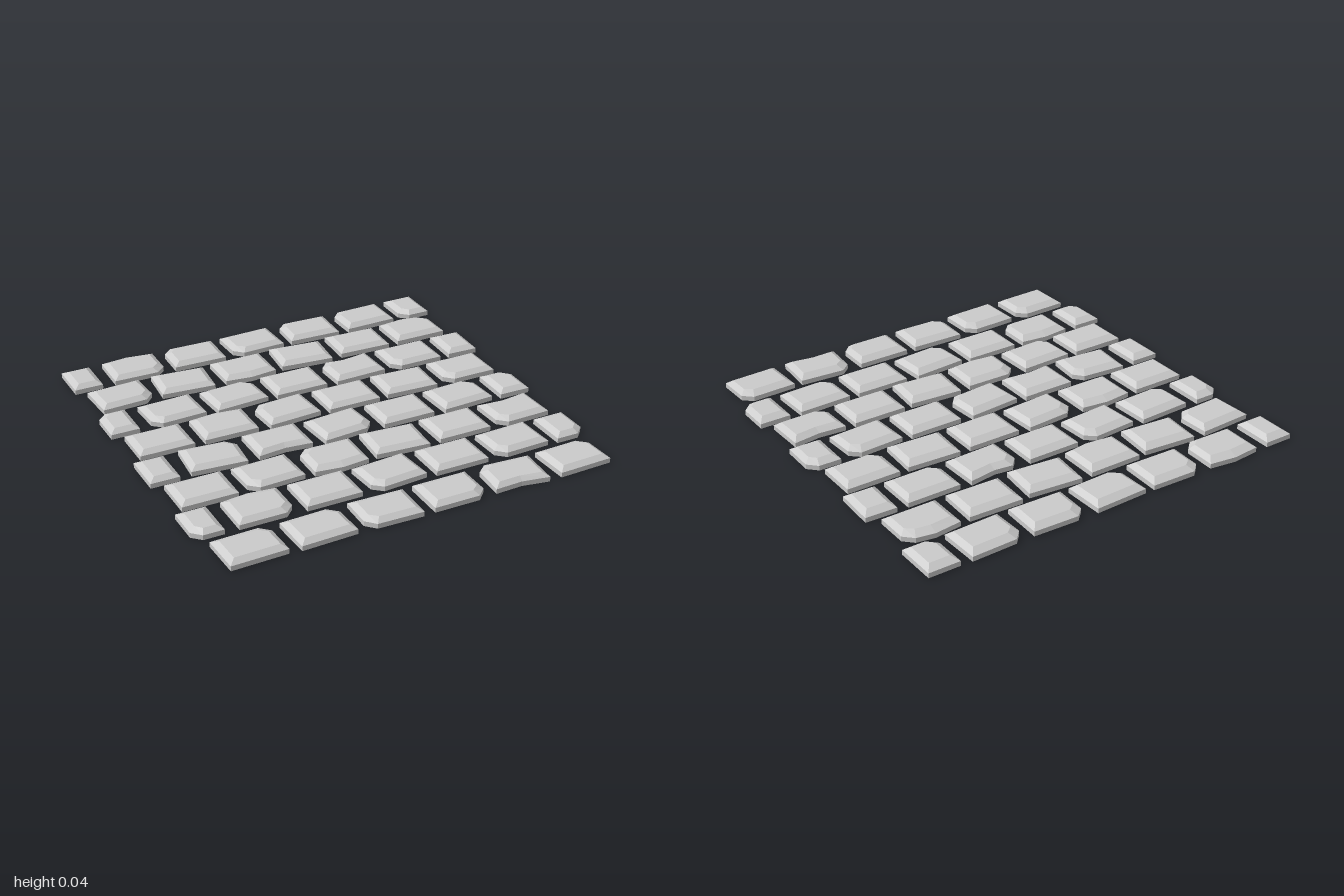
import * as THREE from 'three';

const HEIGHT = 0.043, WALL = 0.024;   // top face, and top of the upright wall
const HALF_W = 0.136, HALF_D = 0.103; // half size of a full stone
const CUT = 0.045;                    // length of a knocked-off corner
const PITCH_X = 0.326;

// One entry per stone: turn in degrees, chipped corners (nw ne se sw),
// and bulges (+) or dents (-) in the back (B) or front (F) edge.
const ROWS = [
  { z: -0.878, stones: ['0', '1 se B+', '1.5 nw', '-2 sw', '2 nw', '-1.5 nw', '0 sw'] },
  { z: -0.63, stones: ['-3 se', '5 ', '0 F+', '5.5', '2', '0 ne B+'] },
  { z: -0.38, stones: ['0 nw', '-2.5 sw', '-4 ne', '0', '-2 nw B-', '0 sw', '2'] },
  { z: -0.134, stones: ['0', '0.5 B+', '-4 nw', '0', '3', '0 sw'] },
  { z: 0.112, stones: ['0', '5 ne', '0 F-', '-5 se', '0', '-3 ne', '1 ne'] },
  { z: 0.356, stones: ['0', '-2.5 sw', '1 nw F+', '4.5', '0', '-1.5 sw B-'] },
  { z: 0.6, stones: ['0 sw', '0 se B+', '0', '-4.5 sw', '0', '-2 sw', '0 se'] },
  { z: 0.862, stones: ['-1.5 ne', '-2 ne', '1.5 sw', '0 se', '4 nw F-', '-2 ne'] },
];

// Footprint of a stone, running back-left, back-right, front-right, front-left
function outline(halfW, marks) {
  const pts = [];
  const cut = Math.min(CUT, halfW * 0.6);
  const corner = (name, sx, sz) => {
    const x = sx * halfW, z = sz * HALF_D;
    if (!marks.includes(name)) { pts.push([x, z]); return; }
    const onSide = [x, z - sz * cut], onEdge = [x - sx * cut, z];
    pts.push(...(sx * sz > 0 ? [onSide, onEdge] : [onEdge, onSide]));
    if (sx === sz) pts.splice(-2, 2, onSide, onEdge);
  };
  const middle = (edge, sz) => {
    if (marks.includes(edge + '+')) pts.push([0, sz * (HALF_D + 0.016)]);
    if (marks.includes(edge + '-')) pts.push([0, sz * (HALF_D - 0.015)]);
  };
  corner('nw', -1, -1);
  middle('B', -1);
  corner('ne', 1, -1);
  corner('se', 1, 1);
  middle('F', 1);
  corner('sw', -1, 1);
  return pts;
}

// Upright wall, sloped shoulder (deeper at the back) and flat faces
function stoneGeometry(halfW, marks) {
  const foot = outline(halfW, marks);
  const kx = 1 - 0.028 / halfW;
  const rings = [
    foot.map(([x, z]) => [x, 0, z]),
    foot.map(([x, z]) => [x, WALL, z]),
    foot.map(([x, z]) => [x * kx, HEIGHT, z * 0.68 + 0.006]),
  ];
  const pos = [];
  const tri = (...corners) => corners.forEach((p) => pos.push(...p));
  foot.forEach((_, i) => {
    const j = (i + 1) % foot.length;
    for (let r = 0; r < 2; r++) {
      const lo = rings[r], hi = rings[r + 1];
      tri(lo[i], hi[i], hi[j]);
      tri(lo[i], hi[j], lo[j]);
    }
    tri([0, HEIGHT, 0], rings[2][j], rings[2][i]);
    tri([0, 0, 0], rings[0][i], rings[0][j]);
  });
  const geo = new THREE.BufferGeometry();
  geo.setAttribute('position', new THREE.Float32BufferAttribute(pos, 3));
  geo.computeVertexNormals();
  return geo;
}

export function createModel() {
  const model = new THREE.Group();
  model.name = 'stonePaving';
  const material = new THREE.MeshStandardMaterial({ color: 0xcccccc, flatShading: true });

  ROWS.forEach(({ z, stones }, r) => {
    const row = new THREE.Group();
    row.name = `stoneRow${r + 1}`;
    const last = stones.length - 1;
    stones.forEach((spec, i) => {
      const [turn, ...marks] = spec.trim().split(' ');
      let x = (i - last / 2) * PITCH_X, halfW = HALF_W;
      // Rows of seven start and end with a narrow stone
      const narrow = last === 6 && (i === 0 || i === last);
      if (narrow) {
        halfW = i === 0 ? 0.072 : 0.079;
        x = (i === 0 ? -1 : 1) * (1 - halfW);
      }
      const stone = new THREE.Mesh(stoneGeometry(halfW, marks), material);
      stone.name = narrow ? 'halfStone' : 'stone';
      stone.position.set(x, 0, z);
      stone.rotation.y = -THREE.MathUtils.degToRad(Number(turn));
      row.add(stone);
    });
    model.add(row);
  });
  return model;
}
